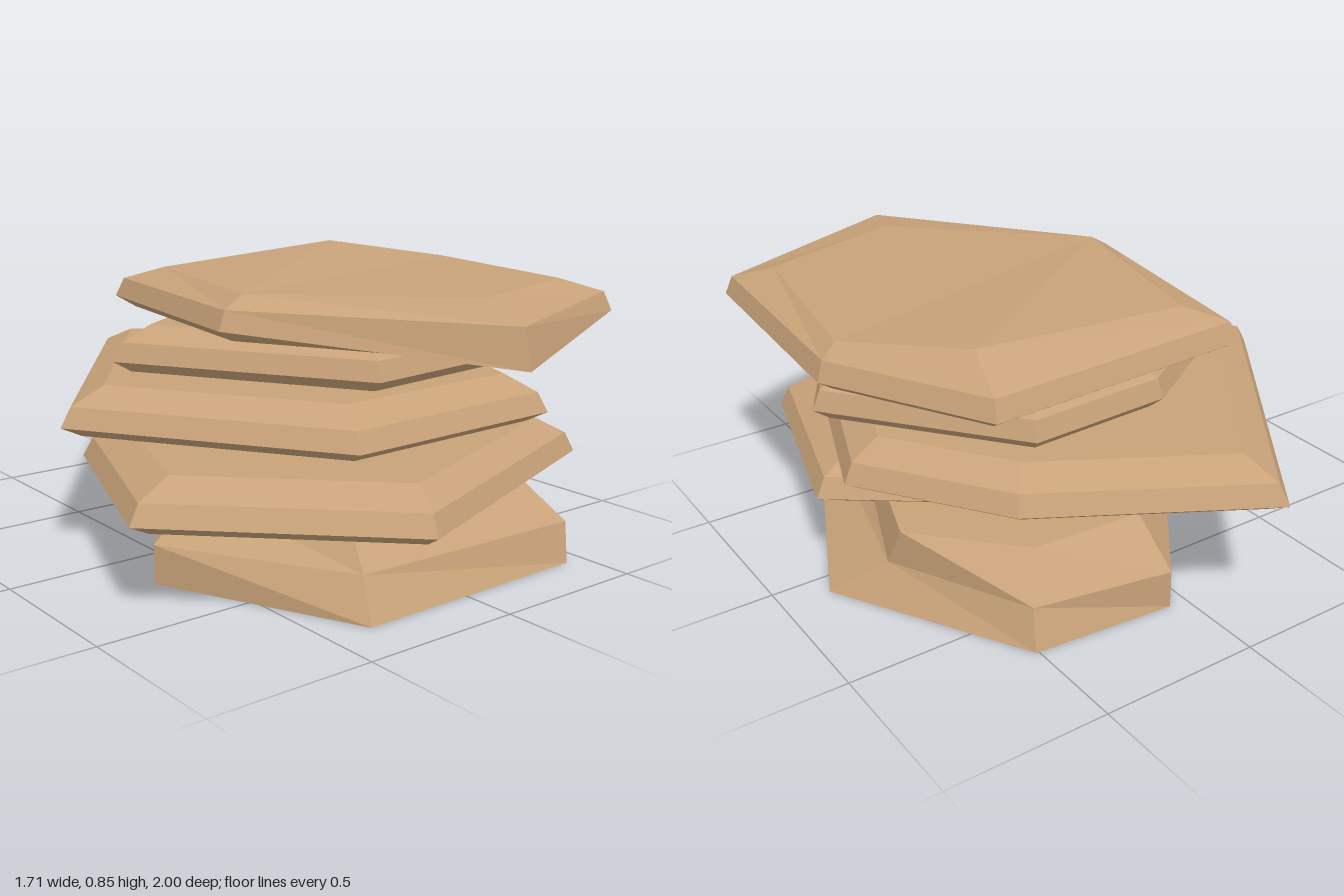
import * as THREE from 'three';

// Builds a flat-shaded slab by joining rings of [x, y, z] corners, bottom to top
function slab(name, rings, material, openBottom = false) {
  const pos = [];
  const tri = (a, b, c) => pos.push(...a, ...b, ...c);
  const n = rings[0].length;
  for (let r = 0; r < rings.length - 1; r++) {
    const lo = rings[r], hi = rings[r + 1];
    for (let i = 0; i < n; i++) {
      const j = (i + 1) % n;
      tri(lo[i], hi[i], hi[j]);
      tri(lo[i], hi[j], lo[j]);
    }
  }
  const top = rings[rings.length - 1], bottom = rings[0];
  for (let i = 1; i < n - 1; i++) {
    tri(top[0], top[i + 1], top[i]);
    if (!openBottom) tri(bottom[0], bottom[i], bottom[i + 1]);
  }
  const geo = new THREE.BufferGeometry();
  geo.setAttribute('position', new THREE.Float32BufferAttribute(pos, 3));
  geo.computeVertexNormals();
  const mesh = new THREE.Mesh(geo, material);
  mesh.name = name;
  return mesh;
}

// Lifts an [x, z] outline to a height, scaled about its own middle
function ring(outline, y, scale = 1) {
  const cx = outline.reduce((s, p) => s + p[0], 0) / outline.length;
  const cz = outline.reduce((s, p) => s + p[1], 0) / outline.length;
  return outline.map(([x, z]) => [cx + (x - cx) * scale, y, cz + (z - cz) * scale]);
}

// Bevelled edge profile shared by the upper slabs
const bevelled = (outline, y) => [
  ring(outline, y, 0.92),
  ring(outline, y + 0.035),
  ring(outline, y + 0.095, 0.96),
  ring(outline, y + 0.145, 0.83),
];

export function createModel() {
  const group = new THREE.Group();
  group.name = 'stackedRocks';
  const stone = new THREE.MeshStandardMaterial({ color: 0xc8a279, side: THREE.DoubleSide, flatShading: true });
  stone.name = 'sandstone';

  // Base rock, open underneath
  group.add(slab('baseRock', [
    ring([[-0.65, 0.22], [0.06, -0.72], [0.51, -0.68], [0.85, -0.08], [0.43, 0.83], [-0.36, 0.84]], 0),
    ring([[-0.65, 0.22], [0.06, -0.72], [0.49, -0.64], [0.71, -0.2], [0.45, 0.8], [-0.33, 0.77]], 0.12),
    ring([[-0.48, 0.2], [0.06, -0.56], [0.42, -0.54], [0.69, -0.25], [0.39, 0.66], [-0.29, 0.66]], 0.24),
  ], stone, true));

  // Middle slabs
  const lower = [[-0.86, 0.44], [-0.61, -0.25], [0.35, -0.36], [0.83, 0], [0.65, 0.65], [-0.28, 1]];
  const middle = [[-0.77, -0.09], [-0.11, -1], [0.53, -0.63], [0.83, -0.2], [0.52, 0.65], [-0.26, 0.67]];
  const upper = [[-0.51, -0.22], [-0.06, -0.51], [0.4, -0.53], [0.82, 0], [0.56, 0.45], [-0.05, 0.51]];
  group.add(slab('lowerSlab', bevelled(lower, 0.24), stone));
  group.add(slab('middleSlab', bevelled(middle, 0.385), stone));
  group.add(slab('upperSlab', bevelled(upper, 0.53), stone));

  // Top slab, with a raised back corner and a drooping front corner
  const cap = [[-0.4, 0.2], [-0.29, -0.57], [0.58, -0.61], [0.85, -0.12], [0.8, 0.65], [0.11, 0.94]];
  const capTop = [[-0.31, 0.19], [-0.17, -0.45], [0.54, -0.44], [0.78, -0.1], [0.68, 0.53], [0.21, 0.68]];
  const rings = [ring(cap, 0.675, 0.92), ring(cap, 0.71), ring(cap, 0.77, 0.965), ring(capTop, 0.81)];
  rings[0][5][1] = 0.66;
  rings[1][5][1] = 0.65;
  rings[3][2][1] = 0.85;
  group.add(slab('topSlab', rings, stone));

  return group;
}
